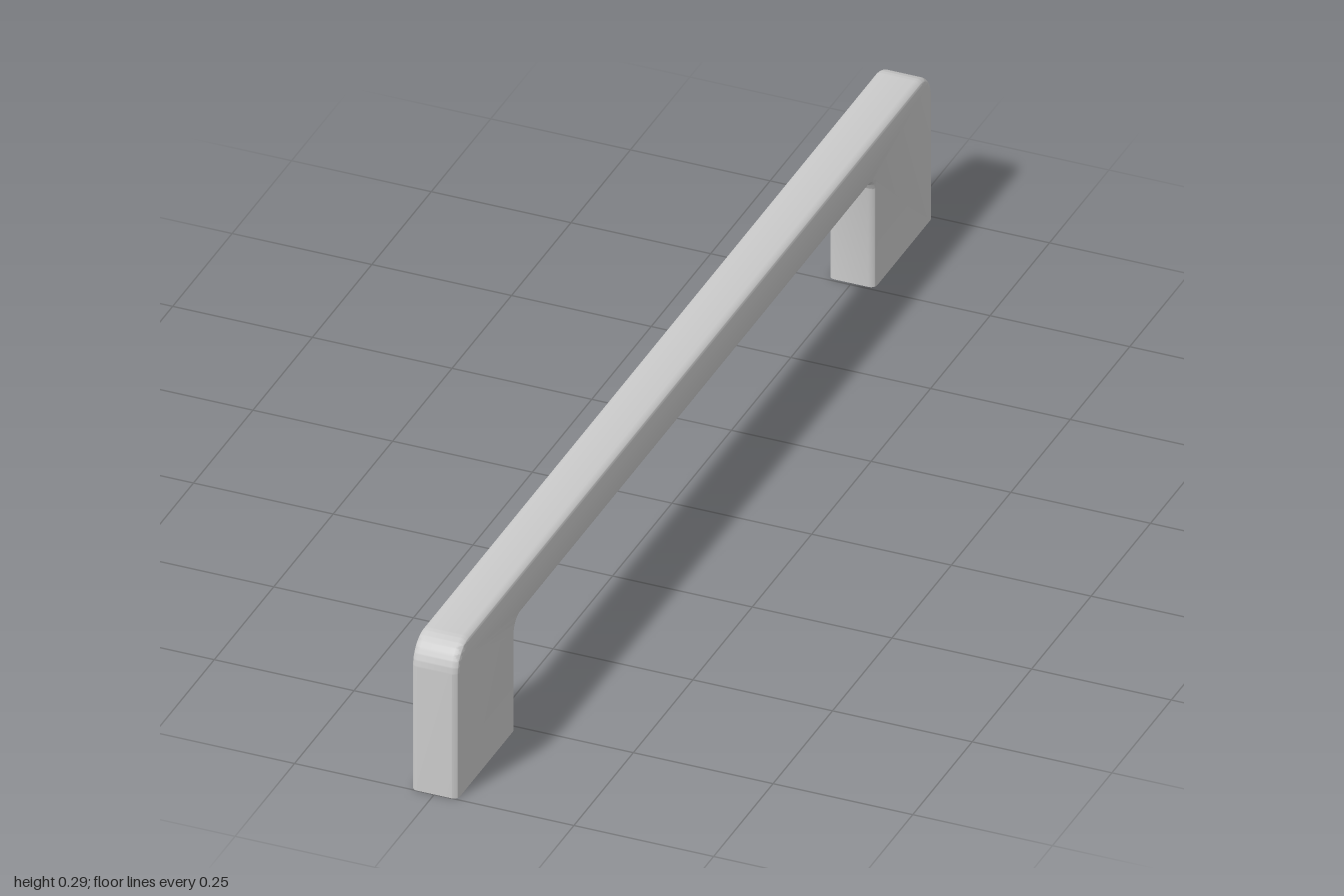
import * as THREE from 'three';
import { toCreasedNormals } from 'three/addons/utils/BufferGeometryUtils.js';

const LENGTH = 2, HEIGHT = 0.288, WIDTH = 0.083;
const OPENING = 1.51, UNDERSIDE = 0.208; // gap between the feet, underside of the bar
const OUTER_R = 0.05, INNER_R = 0.022, EDGE_R = 0.011;

// Side outline of the handle; the feet reach a little below ground so that
// the rounded edges can be cut off flat at y = 0.
function handleOutline() {
  const o = LENGTH / 2, i = OPENING / 2, foot = -EDGE_R;
  const s = new THREE.Shape();
  s.moveTo(-o, foot);
  s.lineTo(-i, foot);
  s.lineTo(-i, UNDERSIDE - INNER_R);
  s.absarc(-i + INNER_R, UNDERSIDE - INNER_R, INNER_R, Math.PI, Math.PI / 2, true);
  s.absarc(i - INNER_R, UNDERSIDE - INNER_R, INNER_R, Math.PI / 2, 0, true);
  s.lineTo(i, foot);
  s.lineTo(o, foot);
  s.absarc(o - OUTER_R, HEIGHT - OUTER_R, OUTER_R, 0, Math.PI / 2, false);
  s.absarc(-o + OUTER_R, HEIGHT - OUTER_R, OUTER_R, Math.PI / 2, Math.PI, false);
  s.closePath();
  return s;
}

export function createModel() {
  const geometry = new THREE.ExtrudeGeometry(handleOutline(), {
    depth: WIDTH - 2 * EDGE_R,
    curveSegments: 14,
    bevelEnabled: true,
    bevelThickness: EDGE_R,
    bevelSize: EDGE_R,
    bevelOffset: -EDGE_R,
    bevelSegments: 10,
  });

  // Flat soles on the feet
  const pos = geometry.attributes.position;
  for (let k = 0; k < pos.count; k++) pos.setY(k, Math.max(0, pos.getY(k)));

  // Centre the thickness, then turn the length along z
  geometry.translate(0, 0, EDGE_R - WIDTH / 2 - EDGE_R + EDGE_R);
  geometry.rotateY(Math.PI / 2);

  const handle = new THREE.Mesh(
    toCreasedNormals(geometry, 0.5),
    new THREE.MeshStandardMaterial({ color: 0xcccccc, roughness: 0.6 })
  );
  handle.name = 'pullHandle';

  const group = new THREE.Group();
  group.name = 'cabinetHandle';
  group.add(handle);
  return group;
}
